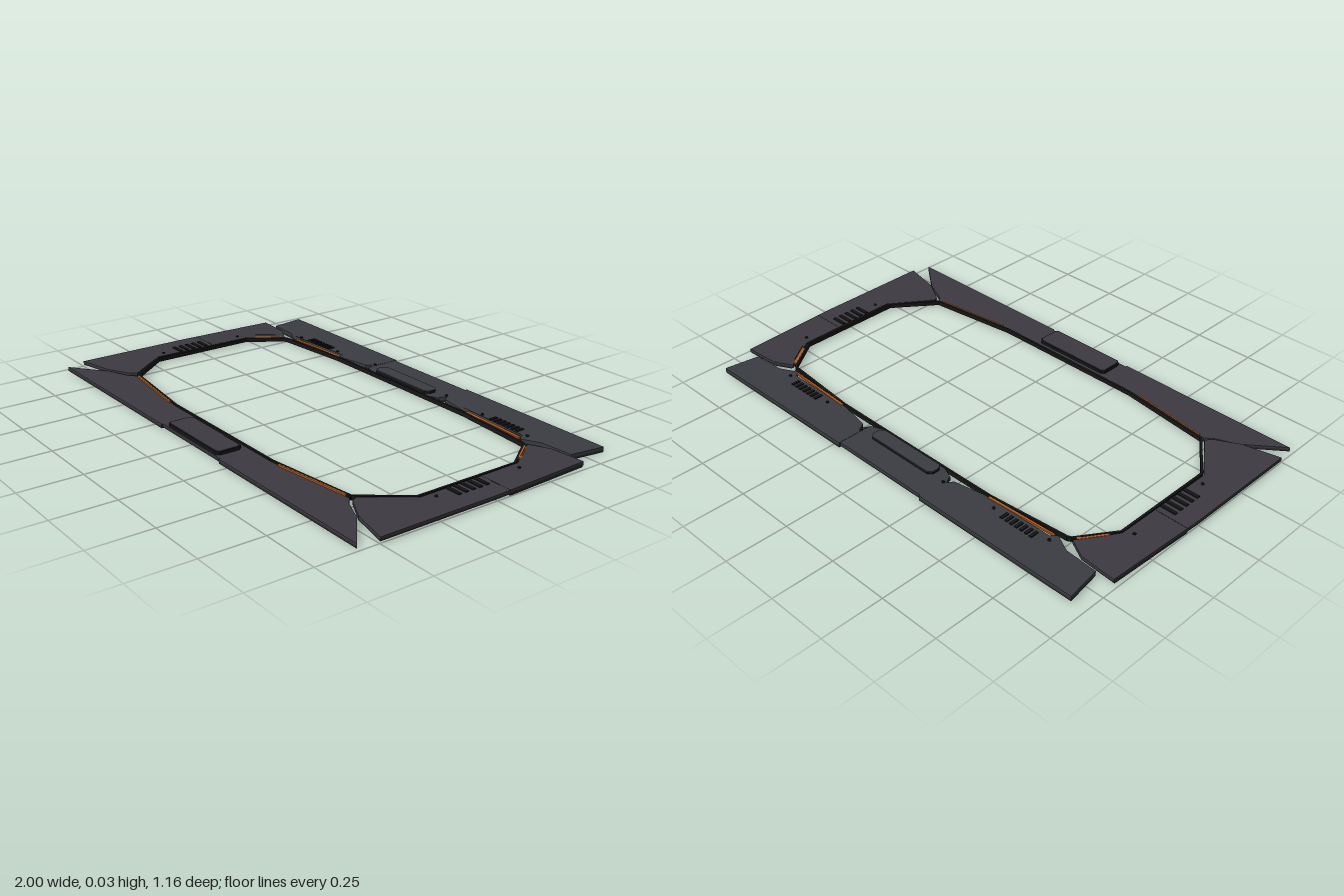
import * as THREE from 'three';

export function createModel() {
  const root = new THREE.Group();
  const mat = (name, color) => {
    const m = new THREE.MeshStandardMaterial({ color });
    m.name = name;
    return m;
  };
  const panel = mat('charcoal panel', 0x3c3a41);
  const slate = mat('slate panel', 0x3b3d42);
  const base = mat('dark base', 0x29292b);
  const black = mat('black trim', 0x161617);
  const orange = mat('orange accent', 0xb85a1c);

  // Flat plate from an [x, z] outline, between heights y0 and y1
  function plate(name, pts, y0, y1, material) {
    const shape = new THREE.Shape(pts.map(([x, z]) => new THREE.Vector2(x, -z)));
    const geo = new THREE.ExtrudeGeometry(shape, { depth: y1 - y0, bevelEnabled: false });
    geo.rotateX(-Math.PI / 2).translate(0, y0, 0);
    const mesh = new THREE.Mesh(geo, material);
    mesh.name = name;
    root.add(mesh);
    return mesh;
  }
  const flip = (pts, s) => pts.map(([x, z]) => [x * s, z]);
  const rect = (x, z, w, d) => [
    [x - w / 2, z - d / 2], [x + w / 2, z - d / 2], [x + w / 2, z + d / 2], [x - w / 2, z + d / 2]];
  // Rectangle with chamfered corners
  const chamfered = (x, z, w, d, c) => {
    const a = w / 2, b = d / 2;
    return [[-a + c, -b], [a - c, -b], [a, -b + c], [a, b - c], [a - c, b], [-a + c, b], [-a, b - c], [-a, -b + c]]
      .map(([u, v]) => [x + u, z + v]);
  };
  // Thin bar between two points
  function strip(name, [x0, z0], [x1, z1], width, y0, y1, material) {
    const geo = new THREE.BoxGeometry(Math.hypot(x1 - x0, z1 - z0), y1 - y0, width);
    const mesh = new THREE.Mesh(geo, material);
    mesh.position.set((x0 + x1) / 2, (y0 + y1) / 2, (z0 + z1) / 2);
    mesh.rotation.y = -Math.atan2(z1 - z0, x1 - x0);
    mesh.name = name;
    root.add(mesh);
  }
  function bolt(x, y, z) {
    const mesh = new THREE.Mesh(new THREE.CylinderGeometry(0.006, 0.006, 0.005, 8), black);
    mesh.position.set(x, y, z);
    mesh.name = 'bolt';
    root.add(mesh);
  }

  // Centre sections of the front and back
  const frontMid = [[-0.2, 0.44], [0.2, 0.44], [0.2, 0.571], [-0.2, 0.571]];
  const backMid = [[-0.22, -0.578], [0.22, -0.578], [0.22, -0.432], [0.17, -0.412], [-0.17, -0.412], [-0.22, -0.432]];
  plate('frontCentreBase', frontMid, 0.003, 0.01, base);
  plate('frontCentrePanel', frontMid, 0.01, 0.017, panel);
  plate('backCentreBase', backMid, 0.003, 0.01, base);
  plate('backCentrePanel', backMid, 0.01, 0.02, slate);

  // Raised covers, the front one outlined by a dark seam
  plate('frontCoverSeam', chamfered(0, 0.513, 0.35, 0.107, 0.012), 0.017, 0.029, black);
  plate('frontCover', chamfered(0, 0.513, 0.34, 0.097, 0.01), 0.029, 0.031, panel);
  plate('backCoverSide', chamfered(0, -0.45, 0.33, 0.06, 0.015), 0.02, 0.03, black);
  plate('backCover', chamfered(0, -0.45, 0.33, 0.06, 0.015), 0.03, 0.032, slate);

  // Outlines of the wings on the +x half
  const frontWing = [[0.2, 0.44], [0.33, 0.44], [0.72, 0.4], [0.75, 0.425], [0.84, 0.464], [0.985, 0.577], [0.2, 0.577]];
  const backWing = [[0.22, -0.585], [0.937, -0.585], [0.915, -0.44], [0.78, -0.432], [0.71, -0.396],
    [0.69, -0.417], [0.38, -0.418], [0.25, -0.442], [0.235, -0.465], [0.22, -0.44]];
  const side = [[0.983, -0.43], [0.835, -0.42], [0.76, -0.38], [0.855, -0.235], [0.86, 0.215], [0.735, 0.385],
    [0.75, 0.41], [0.845, 0.462], [1, 0.498], [1, 0]];
  const sideUnder = [[0.983, -0.425], [0.835, -0.415], [0.77, -0.38], [0.86, -0.235], [0.865, -0.06], [0.998, -0.06]];

  for (const s of [1, -1]) {
    plate('frontWingBase', flip(frontWing, s), 0, 0.009, base);
    plate('frontWing', flip(frontWing, s), 0.009, 0.017, panel);
    plate('backWingBase', flip(backWing, s), 0, 0.009, base);
    plate('backWing', flip(backWing, s), 0.009, 0.021, slate);
    plate('sideUnderplate', flip(sideUnder, s), 0.001, 0.007, base);
    plate('sideBase', flip(side, s), 0.007, 0.013, base);
    plate('sidePanel', flip(side, s), 0.013, 0.022, panel);

    // Seams across the side panels
    strip('sideSeam', [s * 0.862, -0.06], [s * 0.998, -0.06], 0.003, 0.02, 0.0224, black);

    // Inner rail
    const rail = [[0, -0.409], [0.4, -0.408], [0.735, -0.379], [0.75, -0.372], [0.848, -0.23],
      [0.848, 0.22], [0.715, 0.39], [0.33, 0.437], [0, 0.437]];
    for (let i = 0; i < rail.length - 1; i++) {
      strip('innerRail', [s * rail[i][0], rail[i][1]], [s * rail[i + 1][0], rail[i + 1][1]], 0.009, 0.005, 0.023, black);
    }

    // Orange accents along the inner edge
    strip('backAccent', [s * 0.4, -0.417], [s * 0.7, -0.401], 0.013, 0.016, 0.0235, orange);
    strip('frontAccent', [s * 0.37, 0.441], [s * 0.7, 0.4], 0.006, 0.012, 0.0235, orange);
    strip('sideAccent', [s * 0.765, -0.365], [s * 0.83, -0.27], 0.01, 0.016, 0.0235, orange);

    // Hairline guides above the accents
    strip('backGuide', [s * 0.38, -0.42], [s * 0.71, -0.406], 0.002, 0.032, 0.0335, black);
    strip('sideGuide', [s * 0.775, -0.36], [s * 0.835, -0.27], 0.002, 0.032, 0.0335, black);

    // Vent slats
    for (let i = 0; i < 5; i++) {
      plate('sideVentSlat', rect(s * 0.892, 0.098 - i * 0.0315, 0.065, 0.014), 0.022, 0.0265, black);
    }
    for (let i = 0; i < 7; i++) {
      plate('backVentSlat', rect(s * (0.51 + i * 0.023), -0.452, 0.012, 0.035), 0.021, 0.0255, black);
    }

    // Bolts
    for (const z of [-0.21, 0.17]) bolt(s * 0.888, 0.0235, z);
    for (const [x, z] of [[0.225, -0.472], [0.455, -0.448], [0.705, -0.435]]) bolt(s * x, 0.0235, z);
  }
  return root;
}
